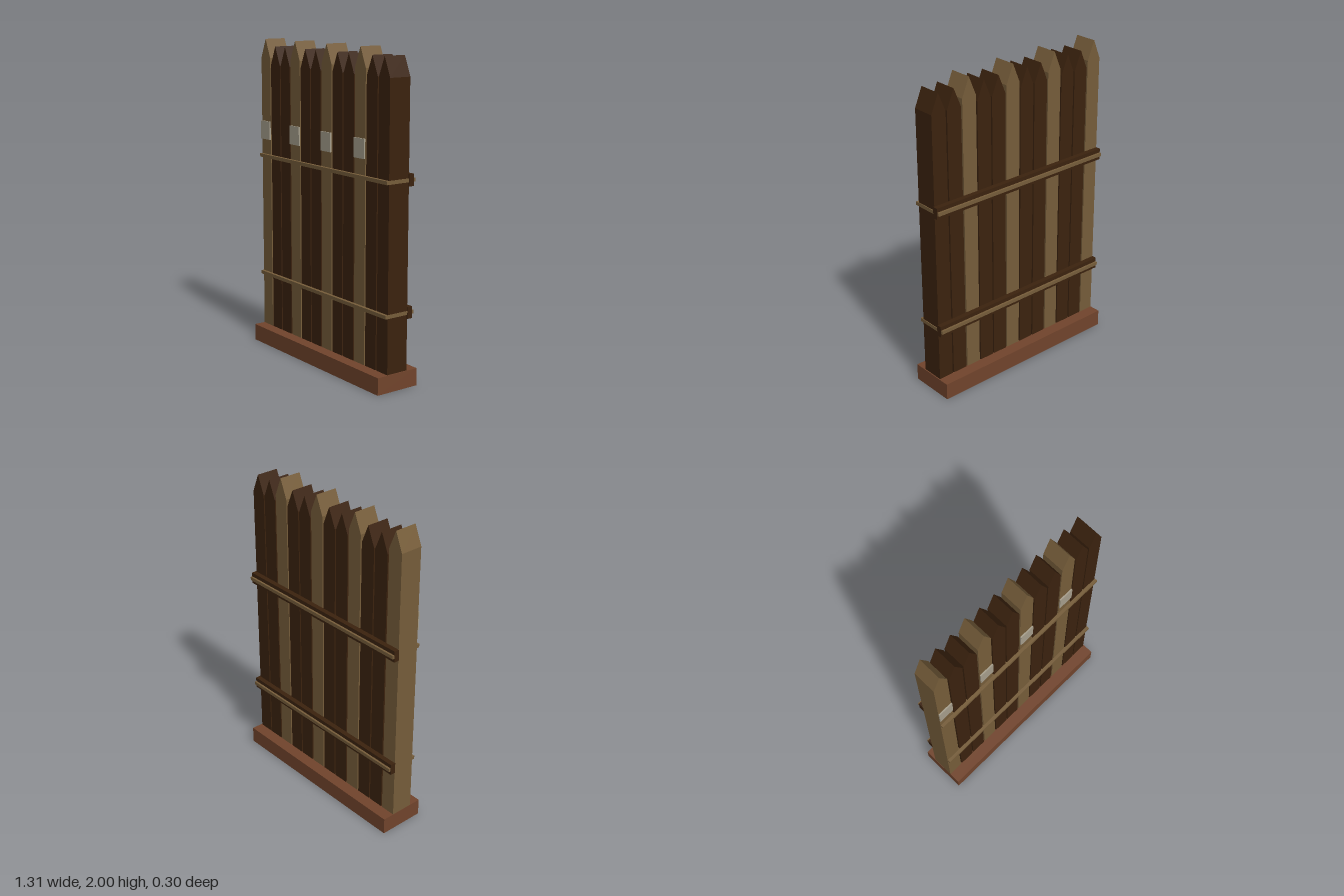
import * as THREE from 'three';

const material = (name, color) => {
  const m = new THREE.MeshStandardMaterial({ color });
  m.name = name;
  return m;
};

export function createModel() {
  const darkWood = material('darkWood', 0x3b220e);
  const paleWood = material('paleWood', 0x765d3a);
  const redWood = material('redWood', 0x71442c);
  const greyPaint = material('greyPaint', 0xa69e8c);

  const fence = new THREE.Group();
  fence.name = 'palisadeFence';

  const add = (name, geometry, mat, x, y, z) => {
    const mesh = new THREE.Mesh(geometry, mat);
    mesh.name = name;
    mesh.position.set(x, y, z);
    fence.add(mesh);
  };
  // Box given by its extents in y and z, centred on x
  const box = (name, mat, width, y0, y1, z0, z1, x = 0) =>
    add(name, new THREE.BoxGeometry(width, y1 - y0, z1 - z0), mat, x, (y0 + y1) / 2, (z0 + z1) / 2);

  // Pointed plank, extruded front to back
  const bottom = 0.1, depth = 0.146;
  const picket = (width, eaves, peak) => {
    const w = width / 2;
    const shape = new THREE.Shape([
      new THREE.Vector2(-w, bottom), new THREE.Vector2(w, bottom),
      new THREE.Vector2(w, eaves), new THREE.Vector2(0, peak), new THREE.Vector2(-w, eaves),
    ]);
    return new THREE.ExtrudeGeometry(shape, { depth, bevelEnabled: false });
  };
  const tall = picket(0.1, 1.88, 2.0);
  const short = picket(0.1, 1.838, 1.957);

  // Base beam
  box('baseBeam', redWood, 1.31, 0, 0.107, -0.148, 0.148);

  // Twelve pickets; every third one is tall, pale and marked with grey paint
  for (let i = 0; i < 12; i++) {
    const x = -0.604 + i * 0.1093;
    const pale = i % 3 === 0;
    add(pale ? 'tallPicket' : 'shortPicket', pale ? tall : short, pale ? paleWood : darkWood, x, 0, -depth / 2);
    if (pale) box('paintedMark', greyPaint, 0.1, 1.356, 1.474, 0.074, 0.083, x);
  }

  // Back rails, each with a binding strip running through the pickets
  for (const y of [0.461, 1.248]) {
    box('backRail', darkWood, 1.31, y - 0.036, y + 0.036, -0.105, -0.07);
    box('bindingStrip', paleWood, 1.306, y - 0.011, y + 0.011, -0.118, 0.093);
  }
  return fence;
}
